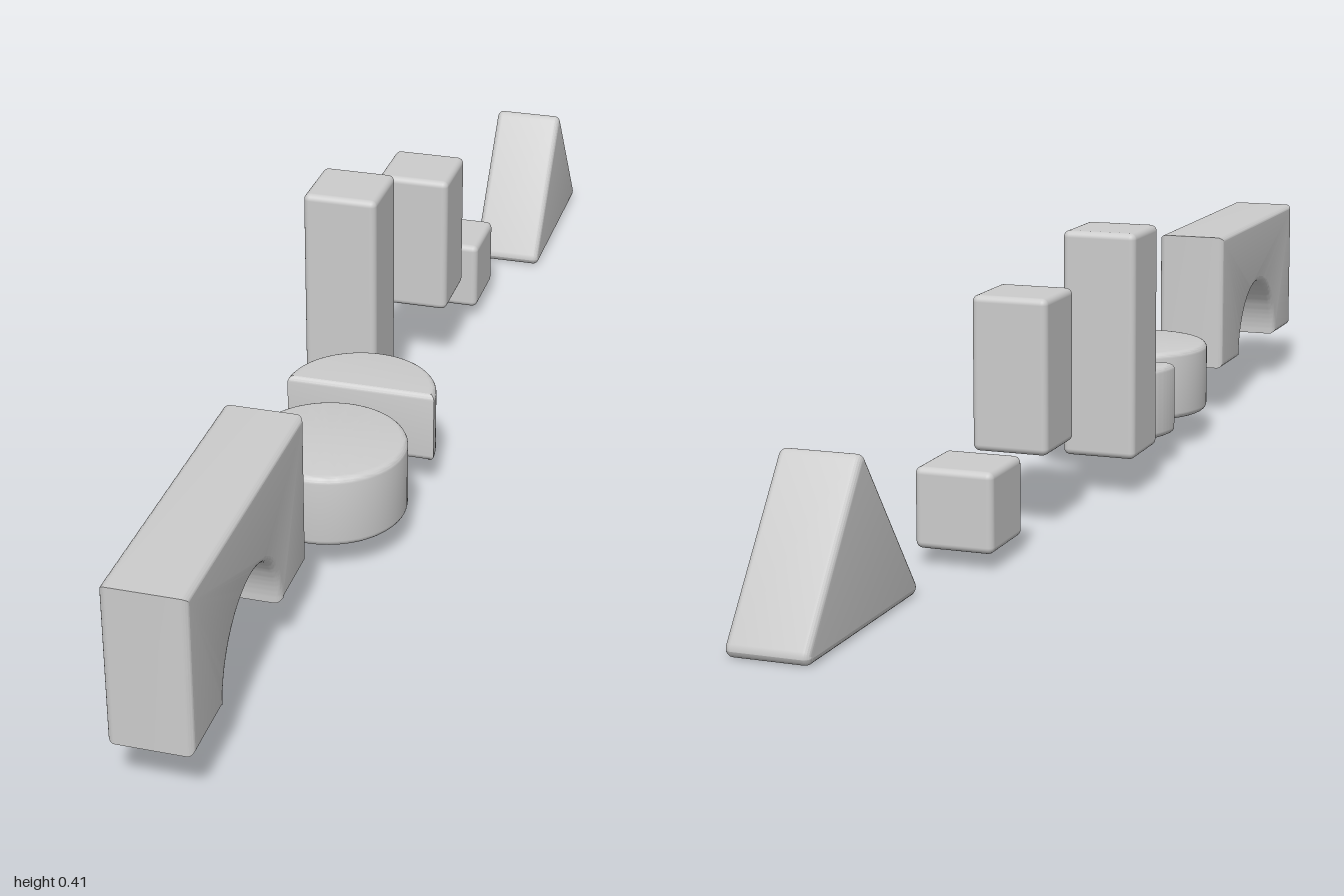
import * as THREE from 'three';
import { toCreasedNormals } from 'three/addons/utils/BufferGeometryUtils.js';
import { RoundedBoxGeometry } from 'three/addons/geometries/RoundedBoxGeometry.js';

const UNIT = 0.117; // block thickness shared by the whole set
const R = 0.01;     // edge rounding

// Extrude a profile to the block thickness, centred, with softened cap edges
function softExtrude(shape) {
  const geo = new THREE.ExtrudeGeometry(shape, {
    depth: UNIT - 2 * R, bevelThickness: R, bevelSize: R, bevelOffset: -R,
    bevelSegments: 5, curveSegments: 40,
  });
  geo.translate(0, 0, -UNIT / 2 + R);
  return toCreasedNormals(geo, 0.42);
}

// Profile drawn in (z, y), thickness along x
const sideExtrude = (shape) => softExtrude(shape).rotateY(-Math.PI / 2);

function archShape(halfLength, height, radius) {
  const s = new THREE.Shape();
  s.moveTo(-halfLength, 0);
  s.lineTo(-radius, 0);
  s.absarc(0, 0, radius, Math.PI, 0, true);
  s.lineTo(halfLength, 0);
  s.lineTo(halfLength, height);
  s.lineTo(-halfLength, height);
  s.closePath();
  return s;
}

// Triangle with rounded corners: arcs around three inset centres
function wedgeShape(halfBase, height, r) {
  const w = halfBase - r;
  const a = Math.atan2(w, height - 2 * r);
  const s = new THREE.Shape();
  s.absarc(w, r, r, -Math.PI / 2, a);
  s.absarc(0, height - r, r, a, Math.PI - a);
  s.absarc(-w, r, r, Math.PI - a, Math.PI * 1.5);
  s.closePath();
  return s;
}

function discGeometry(radius, height) {
  const h = height / 2;
  const pts = [new THREE.Vector2(0, -h)];
  for (const [y, start] of [[-h + R, -Math.PI / 2], [h - R, 0]]) {
    for (let i = 0; i <= 5; i++) {
      const t = start + (i / 5) * Math.PI / 2;
      pts.push(new THREE.Vector2(radius - R + R * Math.cos(t), y + R * Math.sin(t)));
    }
  }
  pts.push(new THREE.Vector2(0, h));
  return toCreasedNormals(new THREE.LatheGeometry(pts, 64), 0.42);
}

export function createModel() {
  const group = new THREE.Group();
  const material = new THREE.MeshStandardMaterial({ color: 0xcccccc });
  const add = (name, geometry, x, y, z) => {
    const mesh = new THREE.Mesh(geometry, material);
    mesh.name = name;
    mesh.position.set(x, y, z);
    group.add(mesh);
  };

  // Arch (bridge) block
  add('archBlock', sideExtrude(archShape(0.236, 0.235, 0.12)), -0.025, 0.085, 0.764);

  // Round block and half-round block
  add('roundBlock', discGeometry(0.117, 0.115), 0.006, 0.109, 0.325);
  const half = new THREE.Shape();
  half.absarc(0, 0, 0.117, 0, Math.PI);
  half.closePath();
  add('halfRoundBlock', softExtrude(half).rotateX(-Math.PI / 2), 0.006, 0.109, 0.159);

  // Square-section blocks: name, height, x, base y, z
  for (const [name, h, x, y, z] of [
    ['tallBlock', 0.352, -0.066, 0.062, -0.034],
    ['mediumBlock', 0.232, -0.013, 0.118, -0.276],
    ['cubeBlock', UNIT, -0.009, 0.024, -0.481],
  ]) {
    add(name, new RoundedBoxGeometry(UNIT, h, UNIT, 4, R), x, y + h / 2, z);
  }

  // Triangular roof block
  add('triangleBlock', sideExtrude(wedgeShape(0.167, 0.23, 0.012)), 0.048, 0, -0.833);

  return group;
}
